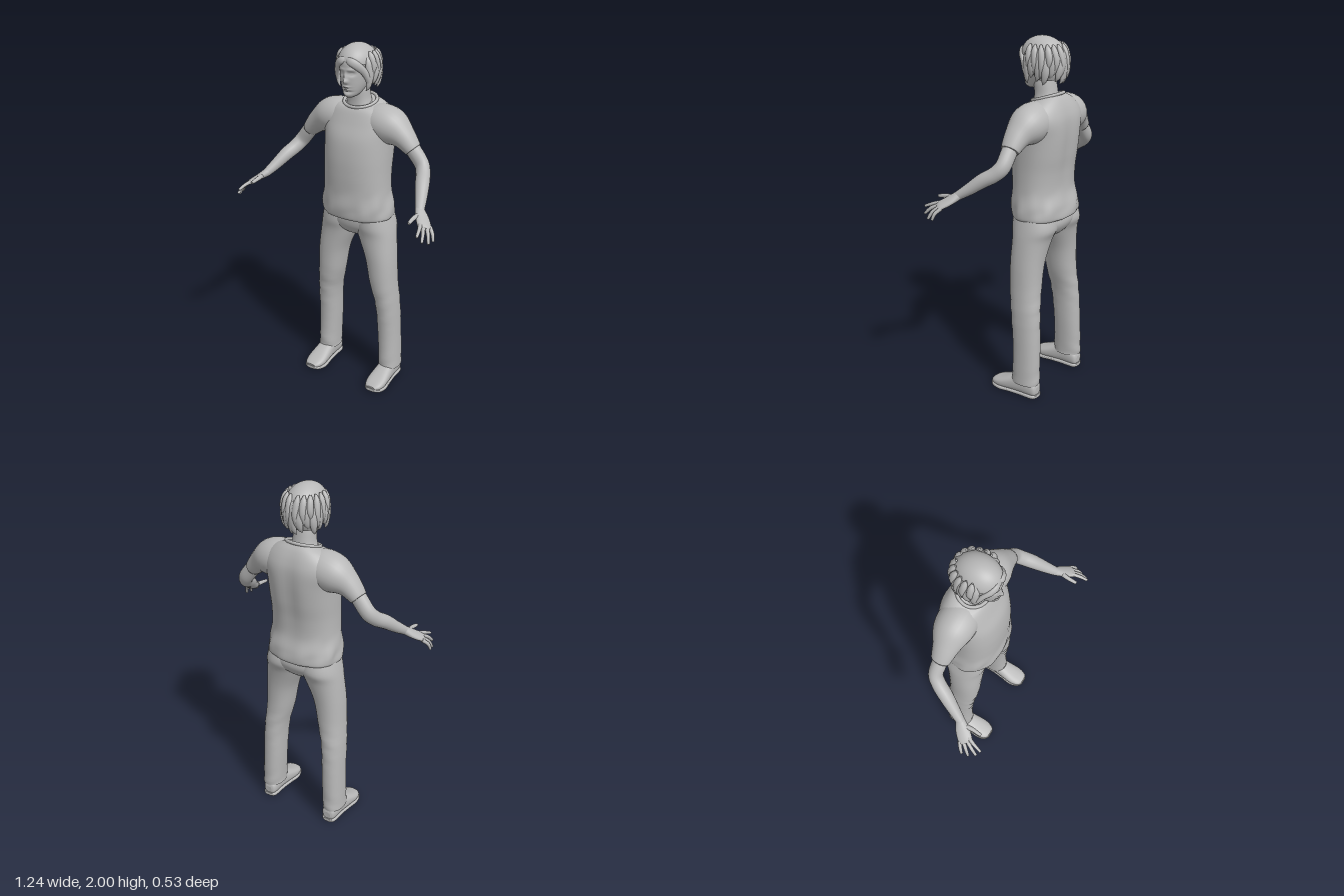
import * as THREE from 'three';

const V = (x, y, z) => new THREE.Vector3(x, y, z);

// Catmull-Rom through rows of numbers, giving evenly refined rows
function smooth(rows, steps) {
  const out = [], at = i => rows[Math.max(0, Math.min(rows.length - 1, i))];
  const blend = (a, b, c, d, t) => {
    const cubic = 3 * (b - c) + d - a, square = 2 * a - 5 * b + 4 * c - d;
    return b + 0.5 * t * (c - a + t * (square + t * cubic));
  };
  for (let i = 0; i < rows.length - 1; i++)
    for (let s = 0; s < steps; s++)
      out.push(rows[i].map((b, k) => blend(at(i - 1)[k], b, at(i + 1)[k], at(i + 2)[k], s / steps)));
  out.push(rows[rows.length - 1]);
  return out;
}

// Cross-sections: [level, x0, x1, front, back, tilt]; along z they read [z, x0, x1, top, bottom]
function slices(rows, { steps = 6, n = 32, p = 2.2, alongZ = false } = {}) {
  const pw = v => Math.sign(v) * Math.abs(v) ** (2 / p);
  return smooth(rows, steps).map(([a, x0, x1, f, b, tilt = 0]) =>
    Array.from({ length: n }, (_, i) => {
      const t = i / n * Math.PI * 2, s = pw(Math.sin(t));
      const x = (x0 + x1) / 2 + (x1 - x0) / 2 * pw(Math.cos(t)), d = (f + b) / 2 + (f - b) / 2 * s;
      return alongZ ? V(x, d, a) : V(x, a + tilt * s, d);
    }));
}

// Limb sections: [x, y, z, radius across ref, radius along ref]
function limb(rows, ref, { steps = 5, n = 16 } = {}) {
  const r = smooth(rows, steps), c = r.map(q => V(q[0], q[1], q[2]));
  return r.map((q, j) => {
    const t = c[Math.min(j + 1, c.length - 1)].clone().sub(c[Math.max(j - 1, 0)]).normalize();
    const u = ref.clone().cross(t).normalize(), v = t.clone().cross(u);
    return Array.from({ length: n }, (_, i) => {
      const a = i / n * Math.PI * 2;
      return c[j].clone().addScaledVector(u, q[3] * Math.cos(a)).addScaledVector(v, q[4] * Math.sin(a));
    });
  });
}

// Closed skin over a list of rings, with separate flat end caps
function skin(rings) {
  const n = rings[0].length, m = rings.length, pos = [], idx = [];
  rings.forEach(r => r.forEach(q => pos.push(q.x, q.y, q.z)));
  for (let j = 0; j < m - 1; j++)
    for (let i = 0; i < n; i++) {
      const a = j * n + i, b = j * n + (i + 1) % n;
      idx.push(a, a + n, b, b, a + n, b + n);
    }
  [rings[0], rings[m - 1]].forEach((r, e) => {
    const base = pos.length / 3, mid = V(0, 0, 0);
    r.forEach(q => { pos.push(q.x, q.y, q.z); mid.addScaledVector(q, 1 / n); });
    pos.push(mid.x, mid.y, mid.z);
    for (let i = 0; i < n; i++) {
      const a = base + i, b = base + (i + 1) % n;
      idx.push(...(e ? [a, base + n, b] : [a, b, base + n]));
    }
  });
  // Turn the faces outward if the enclosed volume comes out negative
  const at = i => V(pos[3 * i], pos[3 * i + 1], pos[3 * i + 2]);
  let vol = 0;
  for (let i = 0; i < idx.length; i += 3) vol += at(idx[i]).dot(at(idx[i + 1]).cross(at(idx[i + 2])));
  if (vol < 0) idx.reverse();
  const g = new THREE.BufferGeometry();
  g.setAttribute('position', new THREE.Float32BufferAttribute(pos, 3));
  g.setIndex(idx);
  g.computeVertexNormals();
  return g;
}

export function createModel() {
  const model = new THREE.Group();
  const grey = new THREE.MeshStandardMaterial({ color: 0xb8b8b8 });
  grey.name = 'plain grey';
  const add = (name, geo) => {
    const mesh = new THREE.Mesh(geo, grey);
    mesh.name = name;
    model.add(mesh);
    return mesh;
  };
  const one = (name, rings) => add(name, skin(rings));
  const pair = (name, rings) => {
    one('left' + name, rings);
    one('right' + name, rings.map(r => r.map(q => V(-q.x, q.y, q.z))));
  };
  const bump = (x, y, cx, cy, sx, sy) => Math.exp(-(((x - cx) / sx) ** 2) - ((y - cy) / sy) ** 2);

  // Shirt body, with a rumpled hem and a hollow along the spine
  const shirt = slices([
    [1.045, -.2, .2, .045, -.245, 0], [1.06, -.212, .212, .055, -.26, 0], [1.12, -.208, .208, .06, -.255, 0],
    [1.2, -.195, .195, .056, -.235, 0], [1.3, -.192, .192, .058, -.238, 0], [1.4, -.195, .195, .055, -.252, 0],
    [1.5, -.2, .2, .04, -.26, 0], [1.58, -.212, .212, .008, -.257, 0], [1.635, -.19, .19, -.015, -.242, 0],
    [1.67, -.145, .145, -.028, -.218, -.012], [1.688, -.095, .095, -.035, -.192, -.024]], { n: 56, p: 2.25 });
  shirt.forEach(r => r.forEach((q, i) => {
    const a = i / 56 * Math.PI * 2, low = Math.max(0, 1 - Math.abs(q.y - 1.1) / .12);
    const k = 1 + .022 * low * Math.sin(7 * a + 30 * q.y) + .01 * low * Math.sin(13 * a);
    q.x *= k;
    q.z = -.1 + (q.z + .1) * k;
    if (q.z < -.1) q.z += .014 * bump(q.x, q.y, 0, 1.45, .05, .22);
  }));
  one('shirtBody', shirt);
  pair('Sleeve', limb([[.07, 1.575, -.12, .1, .095], [.14, 1.58, -.12, .105, .105], [.205, 1.563, -.118, .098, .098],
    [.27, 1.527, -.112, .066, .07], [.325, 1.475, -.11, .046, .052], [.328, 1.472, -.11, .042, .048]],
    V(0, 0, 1), { n: 28 }));
  const collar = new THREE.CatmullRomCurve3(Array.from({ length: 16 }, (_, i) => {
    const a = i / 16 * Math.PI * 2;
    return V(.092 * Math.cos(a), 1.69 - .024 * Math.sin(a), -.113 + .079 * Math.sin(a));
  }), true);
  add('collar', new THREE.TubeGeometry(collar, 48, .009, 8, true));

  // Bare arms, palms and fingers
  const palmUp = V(.48, .86, .17).normalize();
  pair('Arm', limb([[.28, 1.525, -.11, .04, .042], [.335, 1.463, -.11, .04, .043], [.385, 1.4, -.108, .038, .042],
    [.412, 1.36, -.075, .038, .04], [.438, 1.325, -.02, .038, .038], [.468, 1.275, .045, .031, .031],
    [.492, 1.238, .097, .024, .024], [.505, 1.226, .11, .022, .02]], palmUp, { n: 20 }));
  pair('Palm', limb([[.48, 1.25, .08, .02, .018], [.495, 1.236, .1, .027, .022], [.525, 1.212, .13, .037, .018],
    [.558, 1.188, .166, .038, .014], [.567, 1.181, .176, .03, .008]], palmUp));
  const fingers = {
    Thumb: [[.503, 1.225, .125], [.497, 1.222, .17], [.499, 1.214, .22]],
    IndexFinger: [[.538, 1.2, .172], [.554, 1.188, .215], [.565, 1.17, .258]],
    MiddleFinger: [[.552, 1.192, .168], [.574, 1.172, .21], [.586, 1.14, .243]],
    RingFinger: [[.566, 1.186, .158], [.592, 1.158, .189], [.605, 1.123, .208]],
    LittleFinger: [[.576, 1.182, .142], [.602, 1.158, .162], [.613, 1.126, .174]],
  };
  for (const [name, [a, b, c]] of Object.entries(fingers)) {
    const r = name === 'Thumb' ? .012 : .0098, end = c.map((v, k) => v + (v - b[k]) * .08);
    pair(name, limb([[...a, r * 1.15, r * 1.1], [...b, r, r], [...c, r * .75, r * .75], [...end, r * .3, r * .3]],
      palmUp, { n: 10, steps: 4 }));
  }

  // Trousers: hips joining two legs
  one('hips', slices([[1.09, -.185, .185, .02, -.225], [1.02, -.205, .205, .018, -.238], [.975, -.17, .17, .005, -.222],
    [.94, -.09, .09, -.025, -.19], [.915, -.03, .03, -.07, -.14]]));
  const legs = slices([[1.08, 0, .2, .015, -.22], [1, 0, .22, .015, -.235], [.93, .018, .232, .003, -.21],
    [.8, .07, .245, 0, -.19], [.65, .1, .252, -.006, -.186], [.5, .134, .262, -.025, -.196],
    [.3, .145, .268, -.042, -.204], [.12, .154, .274, -.04, -.206], [.086, .153, .275, -.038, -.206]]);
  legs.forEach(r => r.forEach((q, i) => {
    const fold = Math.exp(-(((q.y - .5) / .12) ** 2)) + Math.exp(-(((q.y - .13) / .07) ** 2));
    q.z += .003 * fold * Math.sin(q.y * 70 + i / 32 * Math.PI * 4);
  }));
  pair('TrouserLeg', legs);

  // Shoes: upper and sole
  pair('Shoe', slices([[-.203, .19, .235, .07, .03], [-.185, .172, .253, .1, .012], [-.1, .166, .262, .125, .01],
    [-.04, .16, .268, .105, .01], [.03, .155, .273, .074, .01], [.075, .165, .264, .056, .014],
    [.098, .185, .243, .042, .02]], { p: 2.5, alongZ: true }));
  pair('ShoeSole', slices([[-.206, .19, .235, .026, .005], [-.185, .17, .255, .026, .002], [-.1, .166, .26, .026, .002],
    [-.03, .157, .27, .026, .004], [.03, .15, .277, .026, .001], [.08, .163, .267, .03, .006],
    [.103, .19, .238, .034, .014]], { p: 4, alongZ: true }));

  // Neck and head; the face is shaped by soft bumps and hollows
  one('neck', slices([[1.64, -.085, .085, -.04, -.18], [1.7, -.063, .063, -.042, -.165],
    [1.76, -.057, .057, -.035, -.155], [1.8, -.05, .05, -.03, -.15]]));
  const head = slices([[1.728, -.018, .018, .008, -.045], [1.738, -.034, .034, .02, -.07], [1.755, -.047, .047, .025, -.1],
    [1.785, -.06, .06, .03, -.14], [1.82, -.069, .069, .034, -.17], [1.87, -.076, .076, .037, -.19],
    [1.92, -.077, .077, .034, -.195], [1.965, -.062, .062, .004, -.165], [1.985, -.03, .03, -.04, -.12]],
    { n: 112, steps: 12, p: 2.15 });
  head.forEach(r => r.forEach(q => {
    if (q.z < -.05) return;
    const x = Math.abs(q.x), y = q.y;
    q.z += .011 * bump(x, y, 0, 1.84, .009, .024) + .016 * bump(x, y, 0, 1.818, .014, .012)
      - .013 * bump(x, y, .03, 1.858, .017, .011) + .006 * bump(x, y, .03, 1.857, .01, .006)
      + .005 * bump(x, y, .028, 1.879, .025, .008) + .008 * bump(x, y, 0, 1.789, .02, .006)
      + .007 * bump(x, y, 0, 1.776, .018, .006) - .005 * bump(x, y, 0, 1.7825, .022, .0025)
      - .006 * bump(x, y, 0, 1.762, .03, .006) + .006 * bump(x, y, 0, 1.744, .022, .01);
  }));
  one('head', head);

  // Hair: crown, underlying mass and loose locks
  const crown = add('hairCrown', new THREE.SphereGeometry(1, 40, 20, 0, Math.PI * 2, 0, Math.PI * .5));
  crown.geometry.scale(.098, .102, .126);
  crown.rotation.x = -.12;
  crown.position.set(0, 1.898, -.085);
  one('hairMass', slices([[1.785, -.08, .08, -.06, -.185], [1.82, -.095, .095, -.045, -.2],
    [1.87, -.103, .103, -.035, -.208], [1.92, -.098, .098, 0, -.205], [1.95, -.08, .08, -.02, -.18]]));
  // k runs from the temple (0) round to the nape (1)
  const lock = (k, top, low, out, w) => {
    const a = -.45 + k * 2.02, drop = top - low;
    const at = (r, y, turn, ru, rv) => [.1 * r * Math.cos(a + turn), y, -.09 - .114 * r * Math.sin(a + turn), ru, rv];
    return limb([at(.86, top, 0, w * .3, .005), at(1, top - drop * .2, .03, w, .014),
      at(out, top - drop * .55, .07, w * 1.05, .015), at(out - .04, top - drop * .85, .02, w * .7, .01),
      at(out - .14, low, -.06, .003, .003)], V(Math.cos(a), 0, -Math.sin(a)), { n: 10, steps: 4 });
  };
  for (let i = 0; i < 7; i++) {
    pair('HairLock', lock(i / 6.3, 1.945 - .012 * (i % 2), 1.765 + .016 * ((i * 2) % 3), 1.06 + .03 * (i % 2), .021));
    if (i < 6) pair('UpperHairLock', lock((i + .5) / 6.3, 1.965, 1.835 - .02 * (i % 3), 1.1, .017));
  }
  // Fringe swept from the parting across the brow to each temple
  pair('Fringe', limb([[-.004, 1.935, .022, .008, .006], [.025, 1.925, .032, .02, .01], [.056, 1.905, .018, .022, .012],
    [.082, 1.87, -.012, .019, .012], [.094, 1.825, -.032, .014, .011], [.086, 1.775, -.04, .003, .003]],
    V(.5, .1, .85), { n: 12 }));
  return model;
}
